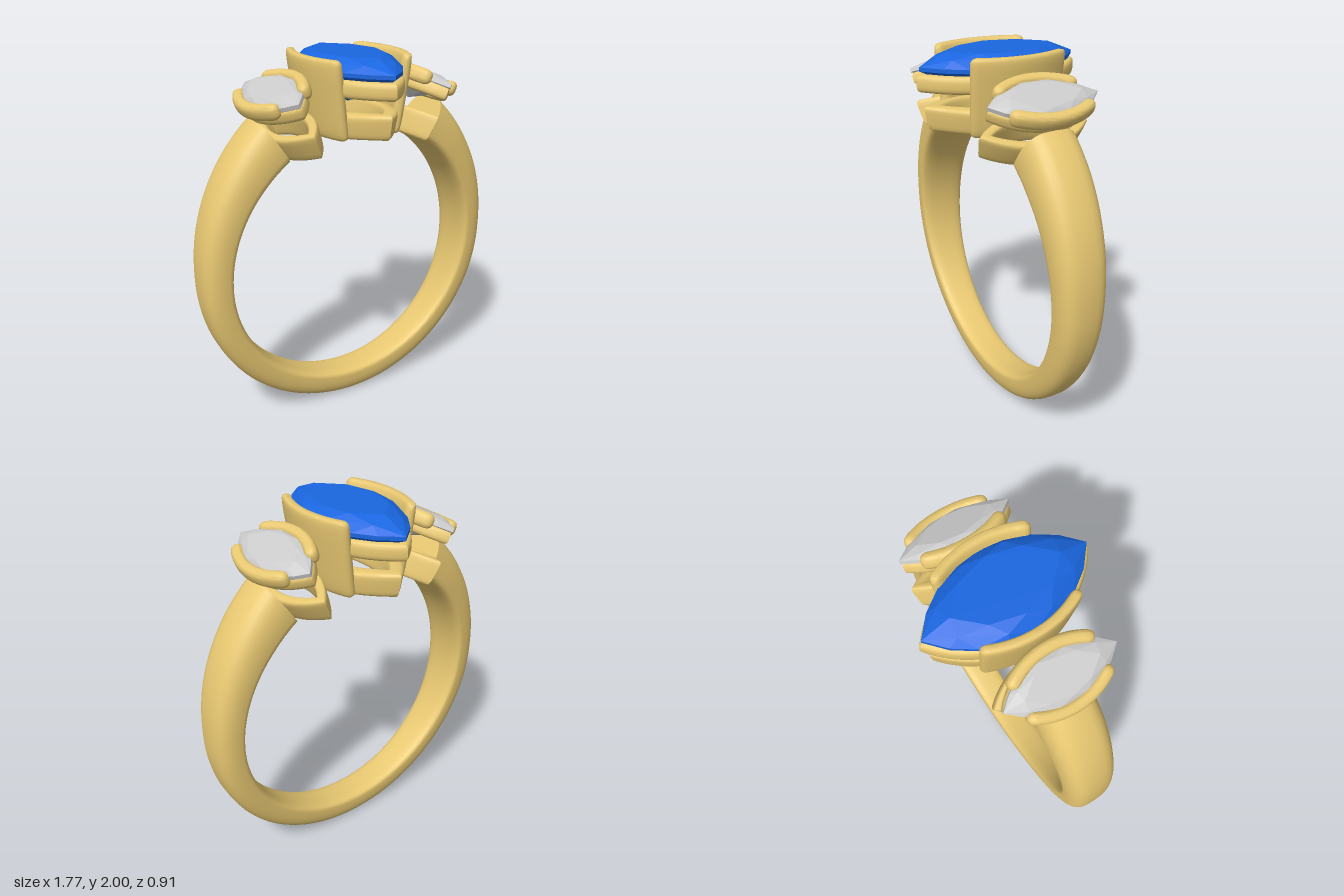
import * as THREE from 'three';
import { toCreasedNormals } from 'three/addons/utils/BufferGeometryUtils.js';
import { ConvexGeometry } from 'three/addons/geometries/ConvexGeometry.js';

const CENTER_Y = 0.885, FINGER_R = 0.73;
const gold = new THREE.MeshStandardMaterial({ color: 0xe8c872 });
const blue = new THREE.MeshStandardMaterial({ color: 0x1a66e0, flatShading: true });
const grey = new THREE.MeshStandardMaterial({ color: 0xcccccc, flatShading: true });

const spow = (v, e) => Math.sign(v) * Math.abs(v) ** e;

// Rounded-rectangle style profile, half sizes 1 x 1
function roundProfile(n, e) {
  return Array.from({ length: n }, (_, i) => {
    const a = ((i + 0.5) / n) * Math.PI * 2;
    return [spow(Math.cos(a), e), spow(Math.sin(a), e)];
  });
}

// Skin over a row of equal closed sections; closed joins last to first, open gets caps
function loft(sections, closed, crease = 0.7) {
  const n = sections.length, m = sections[0].length, idx = [];
  const pts = sections.flat();
  for (let i = 0; i < (closed ? n : n - 1); i++) {
    for (let j = 0; j < m; j++) {
      const a = i * m + j, b = i * m + (j + 1) % m;
      const c = ((i + 1) % n) * m + j, d = ((i + 1) % n) * m + (j + 1) % m;
      idx.push(a, b, d, a, d, c);
    }
  }
  if (!closed) {
    for (let j = 1; j < m - 1; j++) {
      const e = (n - 1) * m;
      idx.push(0, j + 1, j, e, e + j, e + j + 1);
    }
  }
  // Turn faces outward using the signed volume
  let vol = 0;
  const cross = new THREE.Vector3();
  for (let i = 0; i < idx.length; i += 3) {
    vol += pts[idx[i]].dot(cross.crossVectors(pts[idx[i + 1]], pts[idx[i + 2]]));
  }
  if (vol < 0) idx.reverse();
  const g = new THREE.BufferGeometry().setFromPoints(pts);
  g.setIndex(idx);
  return toCreasedNormals(g, crease);
}

function mesh(name, geometry, material) {
  const m = new THREE.Mesh(geometry, material);
  m.name = name;
  return m;
}

// Point on a marquise (two arcs meeting at the z tips), t in 0..1
function marquise(w, l, t) {
  const R = (l * l + w * w) / (2 * w), a = Math.asin(l / R);
  const u = ((t % 1) + 1) % 1, s = u < 0.5 ? 1 : -1;
  const th = (1 - 4 * (u % 0.5)) * a;
  return [s * (R * Math.cos(th) - (R - w)), s * R * Math.sin(th)];
}

// Faceted marquise gem
function gem(w, l, y) {
  const pts = [];
  const ring = (sw, sl, h, n, shift) => {
    for (let i = 0; i < n; i++) {
      const [x, z] = marquise(w * sw, l * sl, (i + shift) / n);
      pts.push(new THREE.Vector3(x, h, z));
    }
  };
  const mix = THREE.MathUtils.lerp;
  ring(0.7, 0.66, y.table, 8, 0);
  ring(0.89, 0.86, mix(y.girdle, y.table, 0.58), 8, 0.5);
  ring(1, 1, y.girdle, 16, 0);
  ring(1, 1, y.girdle - 0.02, 16, 0);
  ring(0.6, 0.62, mix(y.girdle, y.culet, 0.58), 8, 0.5);
  pts.push(new THREE.Vector3(0, y.culet, 0));
  return new ConvexGeometry(pts);
}

// Marquise hoop; taper narrows the bottom, bend wraps it over the finger
function hoop({ w, l, y0, y1, thick, e, taper = 0, bend = false }) {
  const prof = roundProfile(20, e), sections = [];
  for (let i = 0; i < 64; i++) {
    sections.push(prof.map(([p, q]) => {
      const inset = (1 - p) * thick / 2 + taper * (1 - q) / 2;
      const [x, z] = marquise(w - inset, l - inset * 1.35, i / 64);
      const y = (y0 + y1) / 2 + q * (y1 - y0) / 2;
      return new THREE.Vector3(x, y - (bend ? x * x / (2 * FINGER_R) : 0), z);
    }));
  }
  return loft(sections, true);
}

// Bar following one long side of a marquise, with rounded ends
function sideBar({ w, l, half, y0, y1, thick, e, lean = 0, narrow = 0 }) {
  const R = (l * l + w * w) / (2 * w), prof = roundProfile(24, e);
  const ht = thick / 2, hh = (y1 - y0) / 2, N = 28, sections = [];
  for (let i = 0; i <= N; i++) {
    const v = Math.sin((i / N - 0.5) * Math.PI);
    const z0 = v * half;
    const over = Math.max(0, (Math.abs(z0) - (half - ht)) / ht);
    const cut = (1 - Math.sqrt(Math.max(0, 1 - over * over))) * ht * 0.9;
    sections.push(prof.map(([p, q]) => {
      const y = (y0 + y1) / 2 + q * (hh - cut);
      const z = z0 * (1 - narrow * (y1 - y));
      const x = Math.sqrt(R * R - z * z) - (R - w) - lean * (y1 - y);
      const nx = Math.sqrt(1 - (z / R) ** 2);
      return new THREE.Vector3(x + p * (ht - cut) * nx, y, z + p * (ht - cut) * z / R);
    }));
  }
  return loft(sections, false, 0.9);
}

// Band that thickens and widens toward its open ends at the top
function shank() {
  const start = THREE.MathUtils.degToRad(33.5), N = 120, M = 32, sections = [];
  for (let i = 0; i <= N; i++) {
    const a = start + (i / N) * (Math.PI * 2 - 2 * start);
    const fromTop = Math.min(a, Math.PI * 2 - a);
    const s = Math.max(0, (Math.PI / 2 - fromTop) / (Math.PI / 2 - start));
    const t = 0.155 + 0.1 * s ** 1.5;
    const hw = 0.095 + 0.062 * Math.min(1, (CENTER_Y + 0.885 * Math.cos(a)) / 1.5);
    const sec = [];
    for (let j = 0; j < M; j++) {
      const f = (j / M) * Math.PI * 2, sn = Math.sin(f);
      const r = FINGER_R + t * (0.22 + (sn > 0 ? 0.78 * sn ** 0.8 : 0.22 * spow(sn, 0.7)));
      sec.push(new THREE.Vector3(Math.sin(a) * r, CENTER_Y + Math.cos(a) * r, hw * spow(Math.cos(f), 0.62)));
    }
    sections.push(sec);
  }
  return loft(sections, false);
}

// Both mirrored copies of a bar
function barPair(name, options) {
  const g = new THREE.Group();
  g.name = name;
  const geo = sideBar(options);
  for (const turn of [0, Math.PI]) {
    const b = mesh(name + (turn ? 'Right' : 'Left'), geo, gold);
    b.rotation.y = turn;
    g.add(b);
  }
  return g;
}

export function createModel() {
  const ring = new THREE.Group();
  ring.name = 'ring';
  ring.add(mesh('shank', shank(), gold));

  // Centre setting
  const center = new THREE.Group();
  center.name = 'centerSetting';
  center.add(
    mesh('centerStone', gem(0.235, 0.44, { table: 2.0, girdle: 1.94, culet: 1.74 }), blue),
    mesh('centerRail', hoop({ w: 0.24, l: 0.457, y0: 1.815, y1: 1.905, thick: 0.075, e: 0.6 }), gold),
    mesh('centerGallery', hoop({ w: 0.21, l: 0.425, y0: 1.612, y1: 1.742, thick: 0.075, e: 0.4, taper: 0.02, bend: true }), gold),
    barPair('centerWall', { w: 0.262, l: 0.46, half: 0.262, y0: 1.595, y1: 2.0, thick: 0.06, e: 0.4, lean: 0.16, narrow: 0.2 })
  );
  ring.add(center);

  // Side settings, swung around the finger axis to each shoulder
  for (const side of [1, -1]) {
    const g = new THREE.Group();
    g.name = side > 0 ? 'leftSetting' : 'rightSetting';
    g.position.y = CENTER_Y;
    g.rotation.z = -side * THREE.MathUtils.degToRad(25);
    g.add(
      mesh('sideStone', gem(0.135, 0.305, { table: 1.075, girdle: 1.045, culet: 0.915 }), grey),
      mesh('sideRail', hoop({ w: 0.145, l: 0.3, y0: 0.955, y1: 1.025, thick: 0.06, e: 0.6 }), gold),
      mesh('sideGallery', hoop({ w: 0.13, l: 0.312, y0: 0.728, y1: 0.868, thick: 0.055, e: 0.4, taper: 0.02, bend: true }), gold),
      barPair('sideProng', { w: 0.145, l: 0.3, half: 0.225, y0: 0.995, y1: 1.075, thick: 0.065, e: 0.75 })
    );
    ring.add(g);
  }
  return ring;
}
